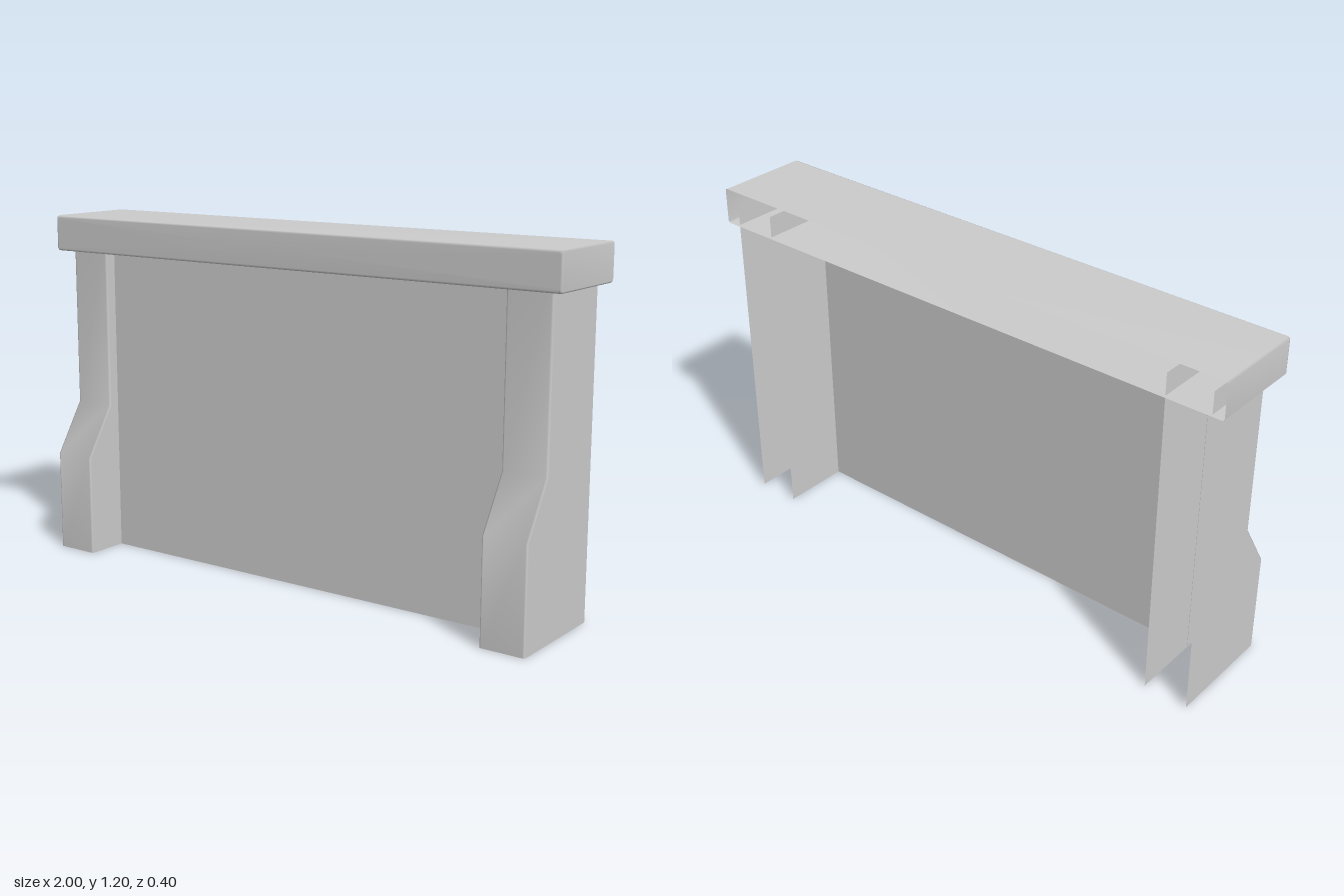
import * as THREE from 'three';

const material = new THREE.MeshStandardMaterial({ color: 0xcccccc, side: THREE.DoubleSide });

// Skin a list of equally long cross-sections; closed joins each section's ends
function loft(sections, closed) {
  const n = sections[0].length;
  const index = [];
  for (let i = 0; i < sections.length - 1; i++) {
    for (let j = 0; j < (closed ? n : n - 1); j++) {
      const k = (j + 1) % n;
      const a = i * n + j, b = i * n + k, c = b + n, d = a + n;
      index.push(a, b, c, a, c, d);
    }
  }
  const geometry = new THREE.BufferGeometry();
  geometry.setAttribute('position', new THREE.Float32BufferAttribute(sections.flat(2), 3));
  geometry.setIndex(index);
  geometry.computeVertexNormals();
  return geometry;
}

function addMesh(group, name, geometry) {
  const mesh = new THREE.Mesh(geometry, material);
  mesh.name = name;
  group.add(mesh);
  return mesh;
}

// Three-sided pillar, open at the back, stepping forward at its foot
function pillarGeometry() {
  const w = 0.078, back = -0.19, r = 0.008;
  const profile = [[0, 0.2], [0.35, 0.2], [0.525, 0.09], [1.15, 0.09]];
  return loft(profile.map(([y, front]) => [
    [-w, y, back], [-w, y, front - r], [-w + r * 0.3, y, front - r * 0.3], [-w + r, y, front],
    [w - r, y, front], [w - r * 0.3, y, front - r * 0.3], [w, y, front - r], [w, y, back],
  ]), false);
}

// Chamfered rectangle in the xy plane, counterclockwise
function mantelSection(z, inset) {
  const x = 1 - inset, b = 1.075 + inset, t = 1.2 - inset, r = 0.006;
  return [
    [-x + r, b, z], [x - r, b, z], [x, b + r, z], [x, t - r, z],
    [x - r, t, z], [-x + r, t, z], [-x, t - r, z], [-x, b + r, z],
  ];
}

export function createModel() {
  const model = new THREE.Group();
  model.name = 'fireplaceSurround';

  // Hollow mantel shelf, open at the back, with softened front edges
  const face = mantelSection(0.13, 0.008);
  addMesh(model, 'mantelShelf', loft([
    mantelSection(-0.2, 0),
    mantelSection(0.122, 0),
    mantelSection(0.128, 0.002),
    face,
    face.map(() => [0, 1.1375, 0.13]),
  ], true));

  // Matching pillars
  for (const [name, side] of [['leftPillar', 1], ['rightPillar', -1]]) {
    addMesh(model, name, pillarGeometry()).position.x = side * 0.877;
  }

  // Thin panel between the pillars
  const panel = addMesh(model, 'recessedPanel', new THREE.PlaneGeometry(1.6, 1.075));
  panel.position.set(0, 0.5375, 0.05);

  return model;
}
